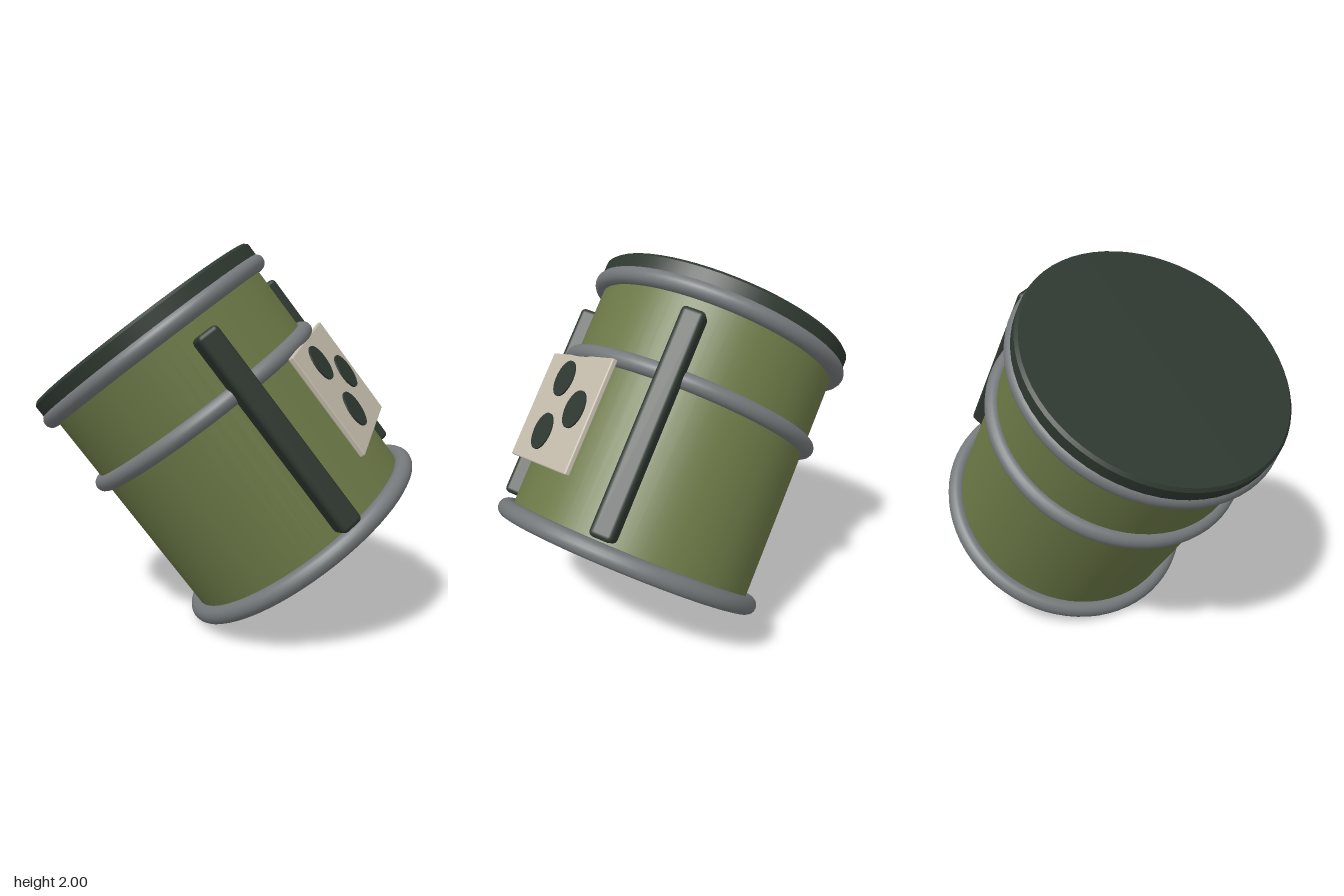
import * as THREE from 'three';
import { RoundedBoxGeometry } from 'three/addons/geometries/RoundedBoxGeometry.js';

function mat(name, color) {
  const m = new THREE.MeshStandardMaterial({ color });
  m.name = name;
  return m;
}

export function createModel() {
  const olive = mat('olive', 0x6b7846);
  const grey = mat('grey', 0x74787a);
  const dark = mat('darkGreen', 0x2e3830);
  const cream = mat('cream', 0xc4bdac);

  const model = new THREE.Group();
  model.name = 'tiltedDrum';

  // Drum axis is local y, tilted back and sideways; the plate faces local +z
  const tilt = new THREE.Group();
  tilt.name = 'tilt';
  tilt.position.set(0.325, 0.46, 0.225);
  tilt.rotation.set(-0.43, 0, 0.5);
  model.add(tilt);
  const drum = new THREE.Group();
  drum.name = 'drum';
  drum.rotation.y = 0.41;
  tilt.add(drum);

  const add = (name, geometry, material, x, y, z, parent = drum) => {
    const mesh = new THREE.Mesh(geometry, material);
    mesh.name = name;
    mesh.position.set(x, y, z);
    parent.add(mesh);
    return mesh;
  };

  // Barrel
  add('barrel', new THREE.CylinderGeometry(0.66, 0.66, 1.34, 64), olive, 0, 0.67, 0);

  // Hoops: height, ring radius, tube radius
  [
    ['bottomHoop', 0, 0.683, 0.047],
    ['middleHoop', 0.87, 0.67, 0.043],
    ['topHoop', 1.295, 0.675, 0.045],
  ].forEach(([name, y, r, t]) => {
    add(name, new THREE.TorusGeometry(r, t, 16, 72), grey, 0, y, 0).rotation.x = Math.PI / 2;
  });

  // Lid with a small bevelled rim
  const rim = new THREE.CylinderGeometry(0.7, 0.7, 0.1, 64);
  add('lid', rim, dark, 0, 1.345, 0);
  add('lidBevel', new THREE.CylinderGeometry(0.685, 0.7, 0.015, 64), dark, 0, 1.4025, 0);

  // Upright bars on both sides of the plate
  for (const side of [-1, 1]) {
    const a = side * 0.82;
    const bar = add(side < 0 ? 'rightBar' : 'leftBar', new RoundedBoxGeometry(0.12, 1.12, 0.12, 2, 0.025),
      dark, Math.sin(a) * 0.72, 0.62, Math.cos(a) * 0.72);
    bar.rotation.y = a;
  }

  // Front plate with three round spots
  const plate = new THREE.Group();
  plate.name = 'frontPlate';
  plate.position.set(0, 0.554, 0.68);
  drum.add(plate);
  add('panel', new RoundedBoxGeometry(0.68, 0.58, 0.03, 2, 0.008), cream, 0, 0, 0, plate);
  for (let i = 0; i < 3; i++) {
    const a = (i * Math.PI * 2) / 3;
    const spot = add('spot', new THREE.CylinderGeometry(0.096, 0.096, 0.009, 40), dark,
      0.01 + Math.cos(a) * 0.165, 0.014 + Math.sin(a) * 0.165, 0.0185, plate);
    spot.rotation.x = Math.PI / 2;
  }

  return model;
}
